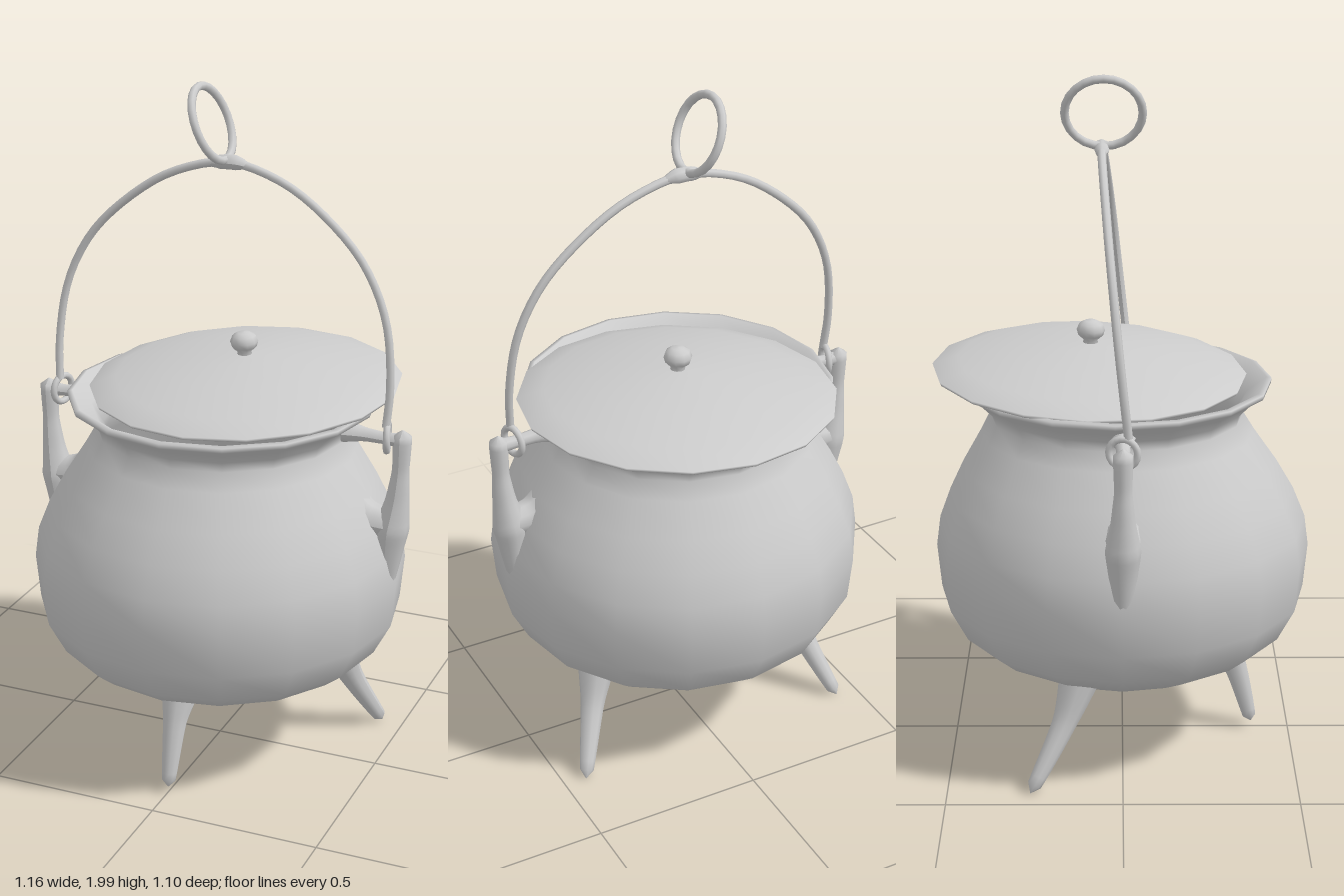
import * as THREE from 'three';

const material = new THREE.MeshStandardMaterial({ color: 0xcccccc });
const vec = (p) => new THREE.Vector3(...p);

function add(parent, name, geometry) {
  const mesh = new THREE.Mesh(geometry, material);
  mesh.name = name;
  parent.add(mesh);
  return mesh;
}

const lathe = (points, sides) =>
  new THREE.LatheGeometry(points.map(([r, y]) => new THREE.Vector2(r, y)), sides);

// Tube along a smooth path; each path point is [x, y, z, radius]
function taperedTube(points, segments, sides) {
  const curve = new THREE.CatmullRomCurve3(points.map((p) => vec(p.slice(0, 3))));
  const geometry = new THREE.TubeGeometry(curve, segments, 1, sides);
  const pos = geometry.attributes.position;
  const v = new THREE.Vector3();
  for (let i = 0; i <= segments; i++) {
    const u = i / segments;
    const centre = curve.getPointAt(u);
    const t = curve.getUtoTmapping(u) * (points.length - 1);
    const k = Math.min(Math.floor(t), points.length - 2);
    const radius = THREE.MathUtils.lerp(points[k][3], points[k + 1][3], t - k);
    for (let j = 0; j <= sides; j++) {
      const n = i * (sides + 1) + j;
      v.fromBufferAttribute(pos, n).sub(centre).multiplyScalar(radius).add(centre);
      pos.setXYZ(n, v.x, v.y, v.z);
    }
  }
  geometry.computeVertexNormals();
  return geometry;
}

export function createModel() {
  const model = new THREE.Group();
  model.name = 'cauldron';

  // Pot with flared rim and hollow inside; the neck leans slightly back
  const potGeometry = lathe([
    [0, 0.252], [0.2, 0.256], [0.32, 0.272], [0.43, 0.33], [0.485, 0.375], [0.535, 0.47],
    [0.547, 0.6], [0.535, 0.69], [0.5, 0.78], [0.455, 0.865], [0.395, 0.96], [0.367, 1.01],
    [0.375, 1.04], [0.41, 1.075], [0.448, 1.098], [0.45, 1.112], [0.435, 1.115],
    [0.38, 1.075], [0.345, 1.02], [0.38, 0.93], [0.48, 0.76], [0.51, 0.6], [0.49, 0.47],
    [0.4, 0.36], [0.2, 0.3], [0, 0.295],
  ], 16);
  const pos = potGeometry.attributes.position;
  for (let i = 0; i < pos.count; i++) {
    pos.setZ(i, pos.getZ(i) - 0.02 * THREE.MathUtils.smoothstep(pos.getY(i), 0.7, 1.1));
  }
  add(model, 'pot', potGeometry);

  // Lid, shifted off centre and tilted
  const lid = new THREE.Group();
  lid.name = 'lid';
  lid.position.set(0.04, 1.127, -0.095);
  lid.rotation.set(0.035, 0, 0.03);
  add(lid, 'lidPlate', lathe([
    [0, 0.055], [0.2, 0.04], [0.36, 0.005], [0.45, -0.008], [0.455, 0.002],
    [0.38, 0.03], [0.24, 0.06], [0.1, 0.079], [0, 0.083],
  ], 16));
  add(lid, 'lidKnob', lathe([
    [0.024, 0.07], [0.02, 0.09], [0.036, 0.104], [0.041, 0.12], [0.034, 0.138],
    [0.018, 0.147], [0, 0.149],
  ], 10));
  model.add(lid);

  // Three splayed legs
  const legs = [
    { name: 'frontLeg', top: [0, 0.31, 0.29], knee: [0, 0.22, 0.335], tip: [0, 0.03, 0.388] },
    { name: 'leftBackLeg', top: [0.32, 0.33, -0.12], knee: [0.36, 0.2, -0.165], tip: [0.432, 0.012, -0.262] },
    { name: 'rightBackLeg', top: [-0.32, 0.33, -0.12], knee: [-0.36, 0.2, -0.165], tip: [-0.432, 0.012, -0.262] },
  ];
  for (const { name, top, knee, tip } of legs) {
    const end = vec(tip).add(vec(tip).sub(vec(knee)).setLength(0.004)).toArray();
    add(model, name, taperedTube([
      [...top, 0.062], [...knee, 0.036], [...tip, 0.017], [...end, 0],
    ], 14, 10));
  }

  // Ears: upright prong, arm into the pot, pin to the rim, handle eye
  for (const [side, s] of [['left', 1], ['right', -1]]) {
    const ear = new THREE.Group();
    ear.name = side + 'Ear';
    add(ear, 'prong', taperedTube([
      [s * 0.515, 0.56, 0, 0.015], [s * 0.52, 0.66, 0, 0.033], [s * 0.53, 0.78, 0, 0.05],
      [s * 0.543, 0.87, 0, 0.034], [s * 0.55, 0.96, 0, 0.024], [s * 0.552, 1.04, 0, 0.027],
      [s * 0.553, 1.075, 0, 0.026], [s * 0.553, 1.083, 0, 0],
    ], 28, 10));
    add(ear, 'arm', taperedTube([
      [s * 0.4, 0.82, 0, 0.075], [s * 0.46, 0.8, 0, 0.05], [s * 0.535, 0.79, 0, 0.042],
    ], 8, 10));
    add(ear, 'pin', taperedTube([
      [s * 0.38, 1.055, 0, 0.035], [s * 0.44, 1.053, 0, 0.021], [s * 0.5, 1.05, 0, 0.018],
      [s * 0.55, 1.05, 0, 0.022],
    ], 10, 8));
    const eye = add(ear, 'handleEye', new THREE.TorusGeometry(0.04, 0.01, 8, 18));
    eye.position.set(s * 0.508, 1.055, 0);
    eye.rotation.y = Math.PI / 2 + s * 0.25;
    model.add(ear);
  }

  // Arched wire handle, leaning back towards the top
  const half = [[0.508, 1.09, 0.015], [0.513, 1.2, 0.003], [0.493, 1.37, -0.015],
    [0.445, 1.49, -0.027], [0.375, 1.585, -0.037], [0.22, 1.71, -0.05], [0.1, 1.762, -0.056]];
  const path = [
    ...half.map(([x, y, z]) => [-x, y, z, 0.012]),
    [0, 1.78, -0.058, 0.013],
    ...half.slice().reverse().map(([x, y, z]) => [x, y, z, 0.012]),
  ];
  add(model, 'handle', taperedTube(path, 48, 8));
  add(model, 'handleKnot', taperedTube([
    [-0.06, 1.77, -0.057, 0.008], [-0.025, 1.778, -0.057, 0.021], [0.025, 1.78, -0.058, 0.022],
    [0.065, 1.772, -0.057, 0.008],
  ], 12, 8));

  // Hanging ring, tilted to one side
  const ring = add(model, 'hangingRing', new THREE.TorusGeometry(0.108, 0.012, 8, 24));
  ring.rotation.set(0, Math.PI / 2, 0);
  const tilt = new THREE.Group();
  tilt.name = 'hangingRingMount';
  tilt.position.set(-0.046, 1.887, -0.052);
  tilt.rotation.z = 0.39;
  tilt.add(ring);
  model.add(tilt);

  return model;
}
